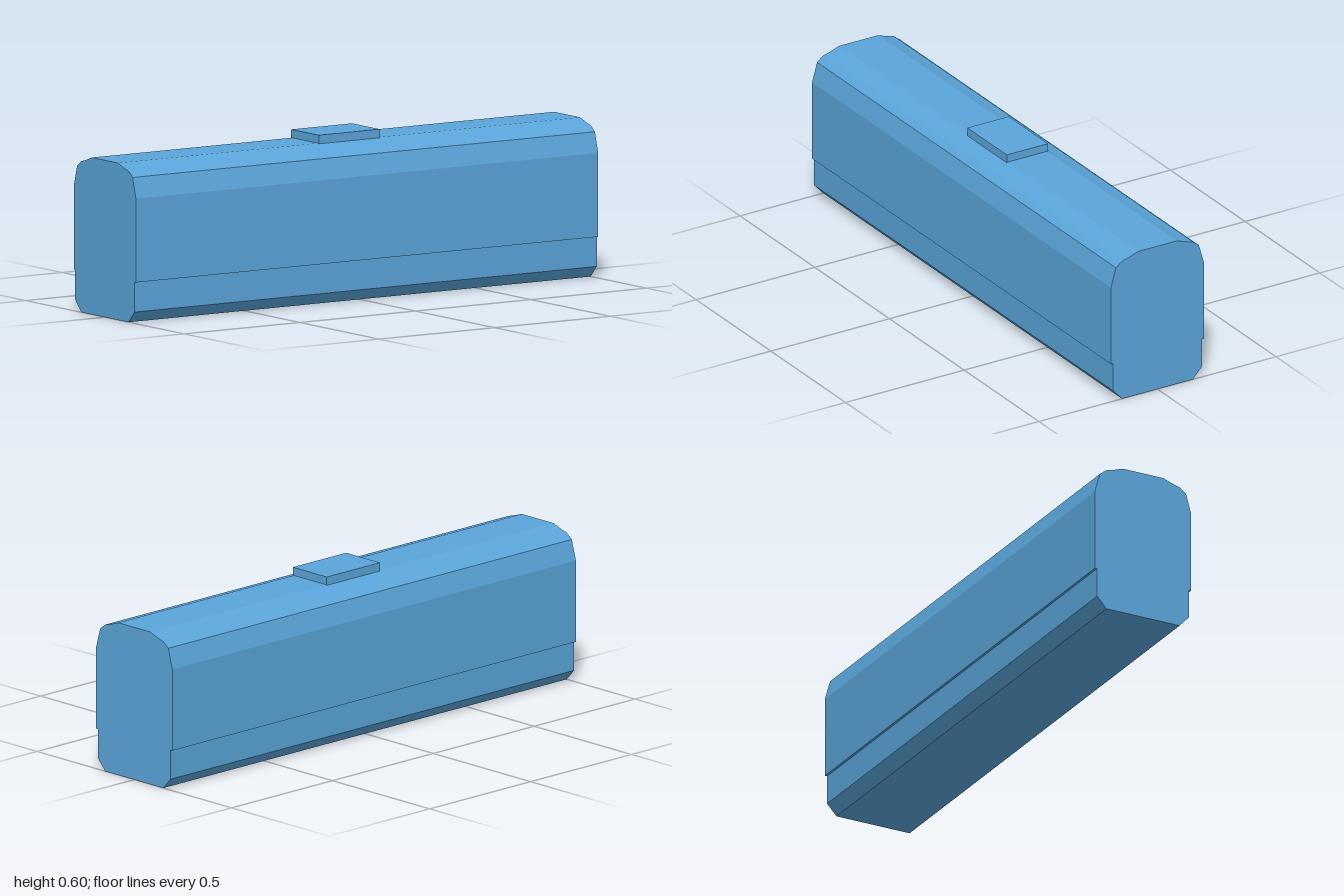
import * as THREE from 'three';

const LENGTH = 2;

// Right half of the cross-section as [half depth, height], from the floor up
const HALF_PROFILE = [
  [0.149, 0], [0.187, 0.041], [0.187, 0.149], [0.196, 0.149], [0.196, 0.451],
  [0.175, 0.525], [0.149, 0.545], [0.125, 0.551], [0.082, 0.566],
];

export function createModel() {
  const group = new THREE.Group();
  group.name = 'carriage';
  const blue = new THREE.MeshStandardMaterial({ color: 0x5aa5da });
  blue.name = 'blue';

  // Carriage body: mirrored cross-section extruded along x
  const mirrored = HALF_PROFILE.map(([z, y]) => [-z, y]).reverse();
  const outline = [...HALF_PROFILE, ...mirrored].map(([z, y]) => new THREE.Vector2(z, y));
  const bodyGeometry = new THREE.ExtrudeGeometry(new THREE.Shape(outline), {
    depth: LENGTH, bevelEnabled: false,
  });
  bodyGeometry.translate(0, 0, -LENGTH / 2).rotateY(Math.PI / 2);
  const body = new THREE.Mesh(bodyGeometry, blue);
  body.name = 'body';
  group.add(body);

  // Roof unit, slightly sunk into the flat crown
  const roofUnit = new THREE.Mesh(new THREE.BoxGeometry(0.264, 0.033, 0.174), blue);
  roofUnit.name = 'roofUnit';
  roofUnit.position.set(-0.002, 0.579, 0);
  group.add(roofUnit);

  return group;
}
